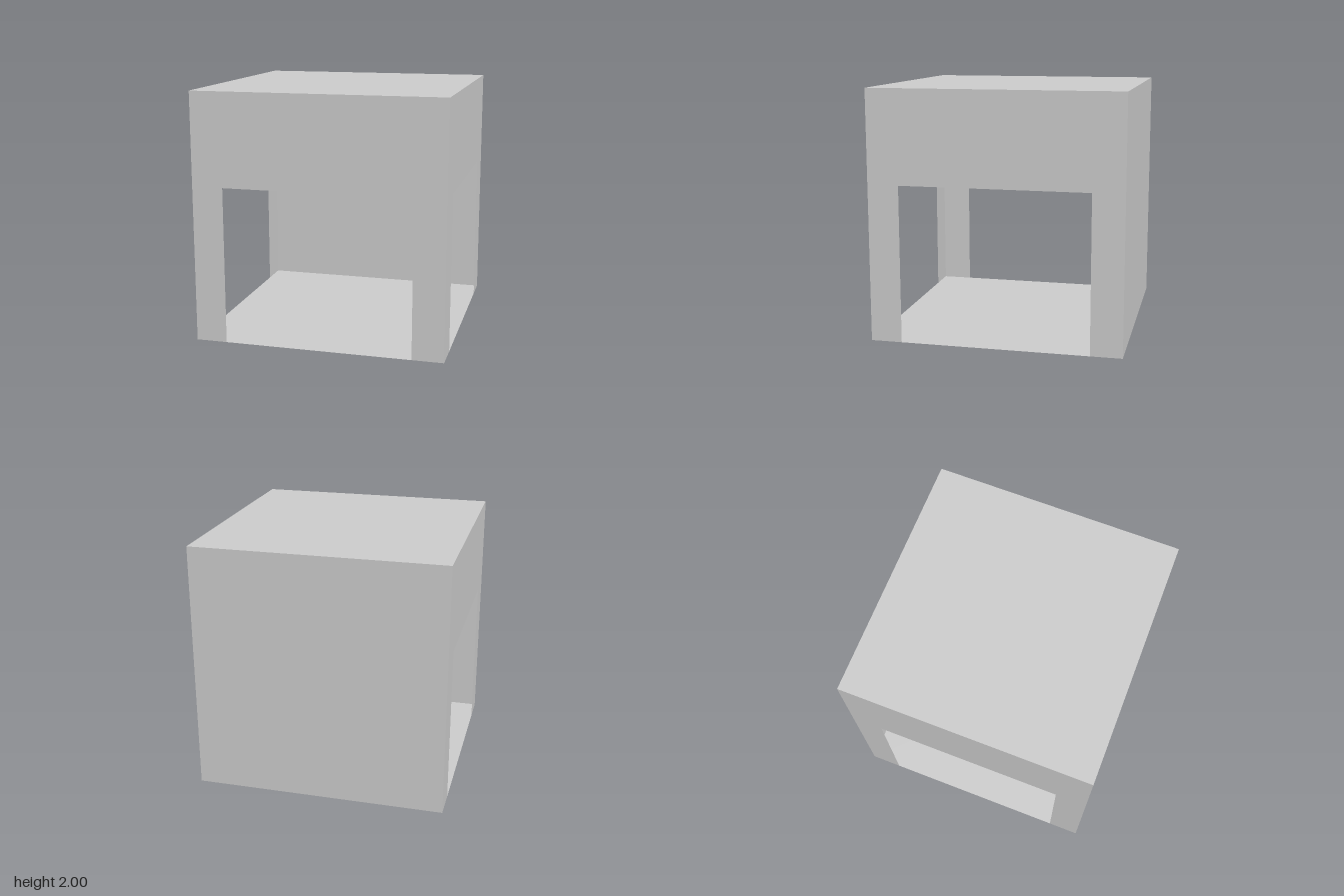
import * as THREE from 'three';

const OPENING_HALF = 0.75;
const OPENING_TOP = 1.255;

// Square wall with a doorway cut up from the floor line
function archedWall() {
  const s = new THREE.Shape();
  s.moveTo(-1, 0);
  s.lineTo(-OPENING_HALF, 0);
  s.lineTo(-OPENING_HALF, OPENING_TOP);
  s.lineTo(OPENING_HALF, OPENING_TOP);
  s.lineTo(OPENING_HALF, 0);
  s.lineTo(1, 0);
  s.lineTo(1, 2);
  s.lineTo(-1, 2);
  s.closePath();
  return new THREE.ShapeGeometry(s);
}

export function createModel() {
  const group = new THREE.Group();
  const grey = new THREE.MeshStandardMaterial({ color: 0xcccccc, side: THREE.DoubleSide });
  grey.name = 'plain grey';

  const add = (name, geometry) => {
    const mesh = new THREE.Mesh(geometry, grey);
    mesh.name = name;
    group.add(mesh);
  };

  // Three open walls: front, left and right
  const turns = { frontWall: 0, leftWall: Math.PI / 2, rightWall: -Math.PI / 2 };
  for (const [name, angle] of Object.entries(turns)) {
    add(name, archedWall().translate(0, 0, 1).rotateY(angle));
  }

  // Solid back wall
  add('backWall', new THREE.PlaneGeometry(2, 2).rotateY(Math.PI).translate(0, 1, -1));

  // Roof and floor sheets
  add('roof', new THREE.PlaneGeometry(2, 2).rotateX(-Math.PI / 2).translate(0, 2, 0));
  add('floor', new THREE.PlaneGeometry(2, 2).rotateX(Math.PI / 2));

  return group;
}
